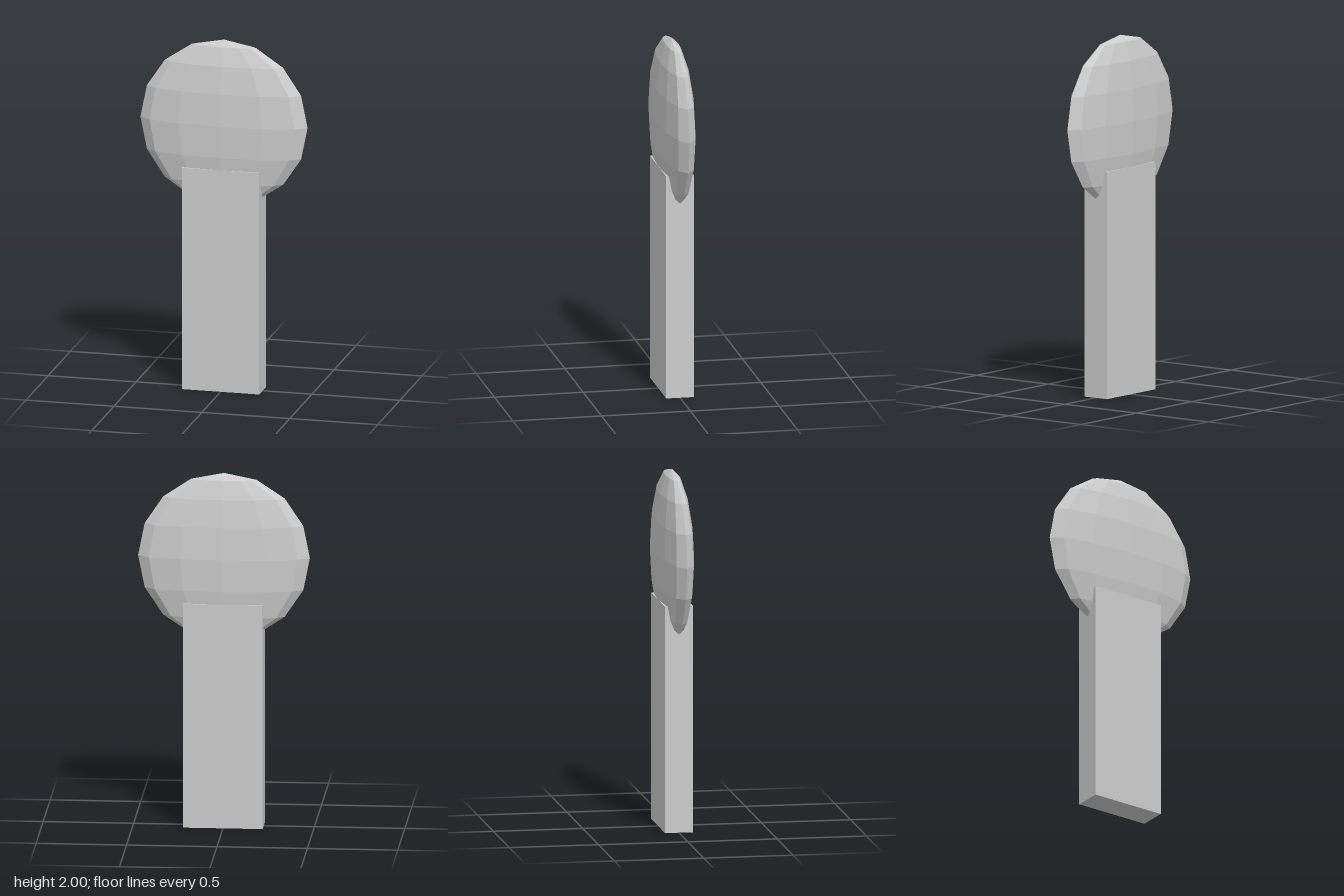
import * as THREE from 'three';

export function createModel() {
  const group = new THREE.Group();
  const grey = new THREE.MeshStandardMaterial({ color: 0xcccccc });
  grey.name = 'light grey';

  const add = (name, geometry, y) => {
    const mesh = new THREE.Mesh(geometry, grey);
    mesh.name = name;
    mesh.position.y = y;
    group.add(mesh);
  };

  // flat upright post
  add('post', new THREE.BoxGeometry(0.44, 1.27, 0.156), 0.635);

  // faceted head, a coarse sphere flattened front to back
  const head = new THREE.SphereGeometry(0.475, 12, 8).scale(1, 1, 0.2).toNonIndexed();
  head.computeVertexNormals();
  add('head', head, 1.525);

  return group;
}
